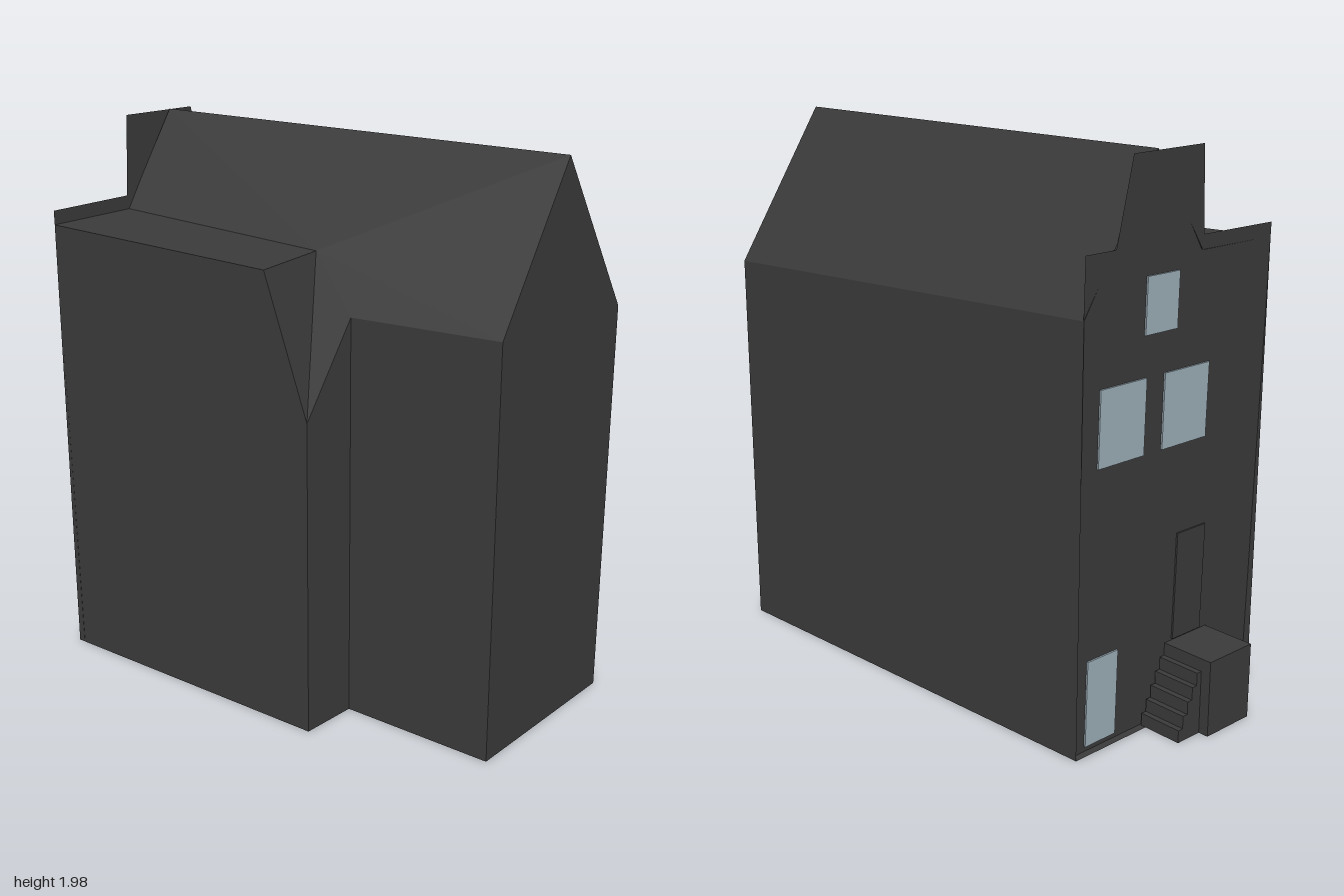
import * as THREE from 'three';

const material = (name, color, side) => {
  const m = new THREE.MeshStandardMaterial({ color, side });
  m.name = name;
  return m;
};

// Flat faces, each a list of [x, y, z] corners, fanned from the first corner
function faces(list) {
  const pos = [];
  for (const p of list)
    for (let i = 1; i < p.length - 1; i++) pos.push(...p[0], ...p[i], ...p[i + 1]);
  const g = new THREE.BufferGeometry();
  g.setAttribute('position', new THREE.Float32BufferAttribute(pos, 3));
  g.computeVertexNormals();
  return g;
}

export function createModel() {
  const model = new THREE.Group();
  model.name = 'house';
  const stone = material('dark grey', 0x3a3a3a, THREE.DoubleSide);
  const glass = material('pale blue grey', 0x9cadb8, THREE.DoubleSide);
  const add = (parent, name, geometry, mat, x = 0, y = 0, z = 0) => {
    const mesh = new THREE.Mesh(geometry, mat);
    mesh.name = name;
    mesh.position.set(x, y, z);
    parent.add(mesh);
    return mesh;
  };

  // Footprint corners [x, z]: a, f facade; b, c rear gable; d, e wing corner
  const plan = {
    a: [-0.5, -0.69], b: [0.995, 0.105], c: [0.635, 0.685],
    d: [0.137, 0.42], e: [0.02, 0.59], f: [-0.96, 0.07],
  };
  const at = (k, y) => [plan[k][0], y, plan[k][1]];
  const [A, B, C, D, E, F] = [...'abcdef'].map((k) => at(k, 0));
  const a = at('a', 1.48), b = at('b', 1.43), c = at('c', 1.46);
  const d = at('d', 1.44), e = at('e', 1.13), f = at('f', 1.63);
  const ridgeBack = [0.81, 1.98, 0.4], ridgeFront = [-0.66, 1.97, -0.42];
  const p = [-0.13, 1.61, 0.51];      // hip start on the wing eave
  const q = [-0.01, 1.605, 0.21];     // wing roof meets main roof
  const r = [-0.78, 1.63, -0.235];    // the same, at the facade

  add(model, 'walls', faces([
    [A, a, b, B],
    [B, b, ridgeBack, c, C],
    [C, c, d, D],
    [D, d, e, E],
    [E, e, p, f, F],
  ]), stone);
  add(model, 'mainRoof', faces([
    [a, ridgeFront, ridgeBack, b],
    [q, e, d, c, ridgeBack, ridgeFront, r],
  ]), stone);
  add(model, 'wingRoof', faces([[f, p, q, r], [p, e, q]]), stone);
  add(model, 'floor', faces([[D, E, F, A, B, C]]), stone);

  // Facade frame: x runs along the facade, z points outward
  const W = 0.888;
  const front = new THREE.Group();
  front.name = 'front';
  front.position.set(A[0], 0, A[2]);
  front.rotation.y = Math.atan2(A[2] - F[2], F[0] - A[0]);
  if (front.rotation.y > 0) front.rotation.y *= 1;
  model.add(front);

  // Facade leaning slightly outward, with a raised neck gable
  const leaning = new THREE.Group();
  leaning.name = 'leaningFacade';
  leaning.position.z = -0.027;
  leaning.rotation.x = 0.0167;
  front.add(leaning);
  const outline = [[0, 0], [1, 0], [1, 1.68], [0.61, 1.68], [0.587, 1.97],
    [0.22, 1.965], [0.15, 1.68], [0, 1.68]];
  const shape = new THREE.Shape(outline.map(([t, y]) => new THREE.Vector2(t * W, y)));
  add(leaning, 'facade', new THREE.ShapeGeometry(shape), stone);

  // Thin panels: t0, t1 across the facade, y0, y1 up it
  const panels = [
    ['atticWindow', 0.31, 0.48, 1.39, 1.58, glass],
    ['upperWindowLeft', 0.09, 0.327, 0.99, 1.25, glass],
    ['upperWindowRight', 0.425, 0.67, 0.99, 1.25, glass],
    ['lowerDoor', 0.07, 0.23, 0.02, 0.33, glass],
    ['mainDoor', 0.54, 0.7, 0.28, 0.67, stone],
  ];
  for (const [name, t0, t1, y0, y1, mat] of panels)
    add(leaning, name, new THREE.BoxGeometry((t1 - t0) * W, y1 - y0, 0.006), mat,
      (t0 + t1) / 2 * W, (y0 + y1) / 2, 0.004);

  // Stoop: landing block and descending steps
  const block = (name, t0, t1, out, h) => add(front, name,
    new THREE.BoxGeometry((t1 - t0) * W, h, out + 0.02), stone,
    (t0 + t1) / 2 * W, h / 2, out / 2 - 0.01);
  block('landing', 0.5, 0.74, 0.184, 0.275);
  const steps = 5, run = 0.12 / steps;
  for (let i = 0; i < steps; i++)
    block('step', 0.38 + i * run, 0.38 + (i + 1) * run, 0.146, 0.275 * (i + 1) / (steps + 1));

  return model;
}
